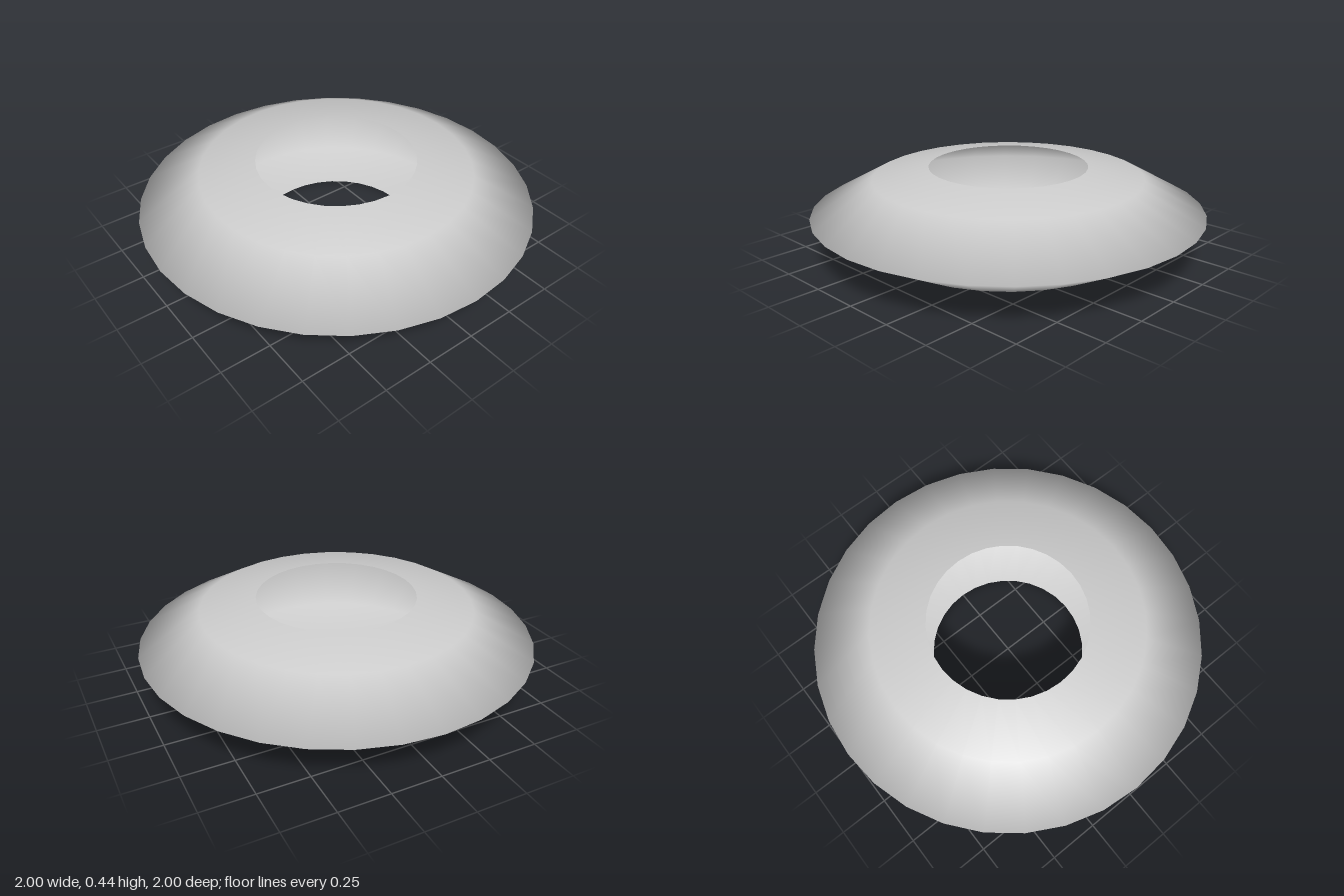
import * as THREE from 'three';

export function createModel() {
  const group = new THREE.Group();

  // Open, hollow ring shell: wide sharp rim, round openings above and below
  const profile = [
    [0.405, 0.005], [0.69, 0.055], [1, 0.223], [0.69, 0.39], [0.405, 0.44],
  ].map(([r, y]) => new THREE.Vector2(r, y - 0.005));

  const shell = new THREE.Mesh(
    new THREE.LatheGeometry(profile, 32),
    new THREE.MeshStandardMaterial({ color: 0xcccccc, side: THREE.DoubleSide })
  );
  shell.name = 'ringShell';
  group.add(shell);

  return group;
}
